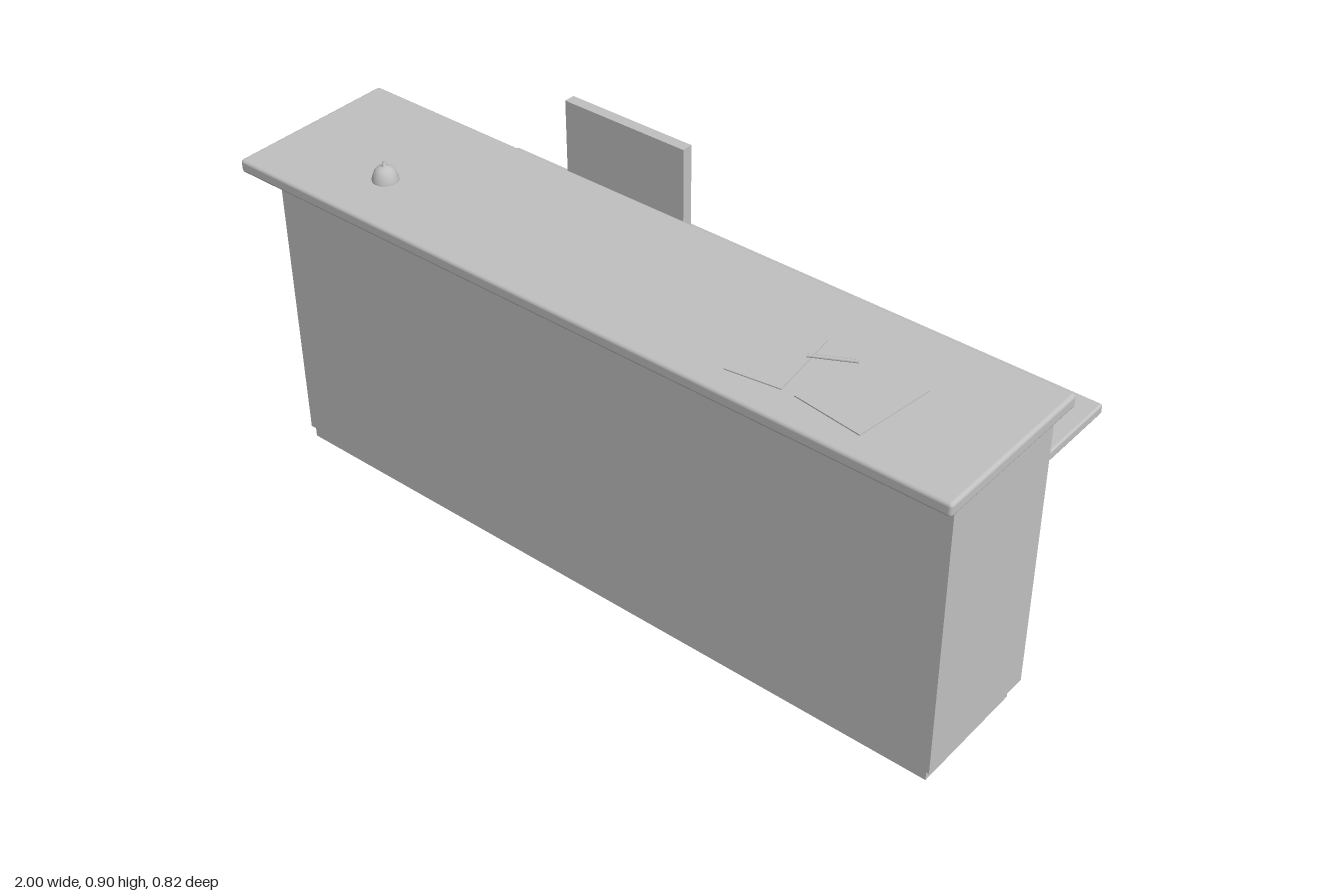
import * as THREE from 'three';
import { RoundedBoxGeometry } from 'three/addons/geometries/RoundedBoxGeometry.js';

export function createModel() {
  const model = new THREE.Group();
  const grey = new THREE.MeshStandardMaterial({ color: 0xc0c0c0 });
  grey.name = 'plain grey';

  function add(name, geometry, x = 0, y = 0, z = 0, parent = model) {
    const mesh = new THREE.Mesh(geometry, grey);
    mesh.name = name;
    mesh.position.set(x, y, z);
    parent.add(mesh);
    return mesh;
  }
  // Box given by its limits on each axis
  function box(name, x0, x1, y0, y1, z0, z1, radius = 0, parent = model) {
    const w = x1 - x0, h = y1 - y0, d = z1 - z0;
    const geometry = radius
      ? new RoundedBoxGeometry(w, h, d, 3, radius)
      : new THREE.BoxGeometry(w, h, d);
    return add(name, geometry, (x0 + x1) / 2, (y0 + y1) / 2, (z0 + z1) / 2, parent);
  }
  function group(name) {
    const g = new THREE.Group();
    g.name = name;
    model.add(g);
    return g;
  }

  // Counter with rounded top
  box('counterBody', -0.96, 0.96, 0.03, 0.82, -0.038, 0.33);
  box('counterTop', -1, 1, 0.818, 0.853, -0.045, 0.41, 0.009);

  // Recessed plinth, a frame open underneath
  const plinth = group('plinth');
  const t = 0.004;
  box('plinthFront', -0.95, 0.95, 0, 0.03, 0.325 - t, 0.325, 0, plinth);
  box('plinthBack', -0.95, 0.95, 0, 0.03, 0, t, 0, plinth);
  box('plinthRight', -0.95, -0.95 + t, 0, 0.03, t, 0.325 - t, 0, plinth);
  box('plinthLeft', 0.95 - t, 0.95, 0, 0.03, t, 0.325 - t, 0, plinth);

  // Lower desk on two panel legs
  box('deskTop', -0.885, 0.885, 0.528, 0.555, -0.41, -0.04, 0.006);
  for (const x of [-0.44, 0.44]) {
    box('deskLeg', x - 0.021, x + 0.021, 0, 0.53, -0.395, -0.055);
  }

  // Monitor with stand
  const monitor = group('monitor');
  box('screen', -0.56, -0.19, 0.65, 0.88, -0.277, -0.247, 0, monitor);
  box('standPost', -0.397, -0.353, 0.56, 0.63, -0.322, -0.28, 0, monitor);
  box('standBase', -0.445, -0.305, 0.555, 0.562, -0.35, -0.25, 0, monitor);

  // Keyboard with rows of keys
  const keyboard = group('keyboard');
  box('keyboardBody', -0.53, -0.22, 0.555, 0.566, -0.19, -0.087, 0, keyboard);
  for (let i = 0; i < 3; i++) {
    const z = -0.105 - i * 0.031;
    box('keyRow', -0.51, -0.24, 0.566, 0.569, z - 0.01, z + 0.01, 0, keyboard);
  }

  // Telephone with handset lying across the back
  const phone = group('telephone');
  const side = new THREE.Shape();
  side.moveTo(0.205, 0.555).lineTo(0.32, 0.555).lineTo(0.32, 0.587).lineTo(0.205, 0.58);
  const phoneBody = add('phoneBody', new THREE.ExtrudeGeometry(side, { depth: 0.13, bevelEnabled: false }), 0.23, 0, 0, phone);
  phoneBody.rotation.y = Math.PI / 2;
  const handset = add('handset', new THREE.CapsuleGeometry(0.015, 0.12, 4, 10), 0.295, 0.597, -0.303, phone);
  handset.rotation.z = Math.PI / 2;

  // Papers and pen
  const papers = [[0.45, 0.235, 0.135, 0.2, 8], [0.665, 0.232, 0.178, 0.21, -7]];
  for (const [x, z, w, d, degrees] of papers) {
    const sheet = add('paper', new THREE.BoxGeometry(w, 0.003, d), x, 0.8545, z);
    sheet.rotation.y = THREE.MathUtils.degToRad(degrees);
  }
  const pen = add('pen', new THREE.CylinderGeometry(0.004, 0.004, 0.107, 8), 0.552, 0.859, 0.178);
  pen.rotation.set(0, Math.atan2(0.05, 0.095), Math.PI / 2);

  // Service bell
  const profile = [[0.032, 0], [0.032, 0.004], [0.029, 0.014], [0.025, 0.024], [0.019, 0.031],
    [0.01, 0.036], [0.004, 0.037], [0.004, 0.046], [0, 0.047]];
  add('bell', new THREE.LatheGeometry(profile.map(([r, y]) => new THREE.Vector2(r, y)), 24), -0.67, 0.853, 0.257);

  return model;
}
